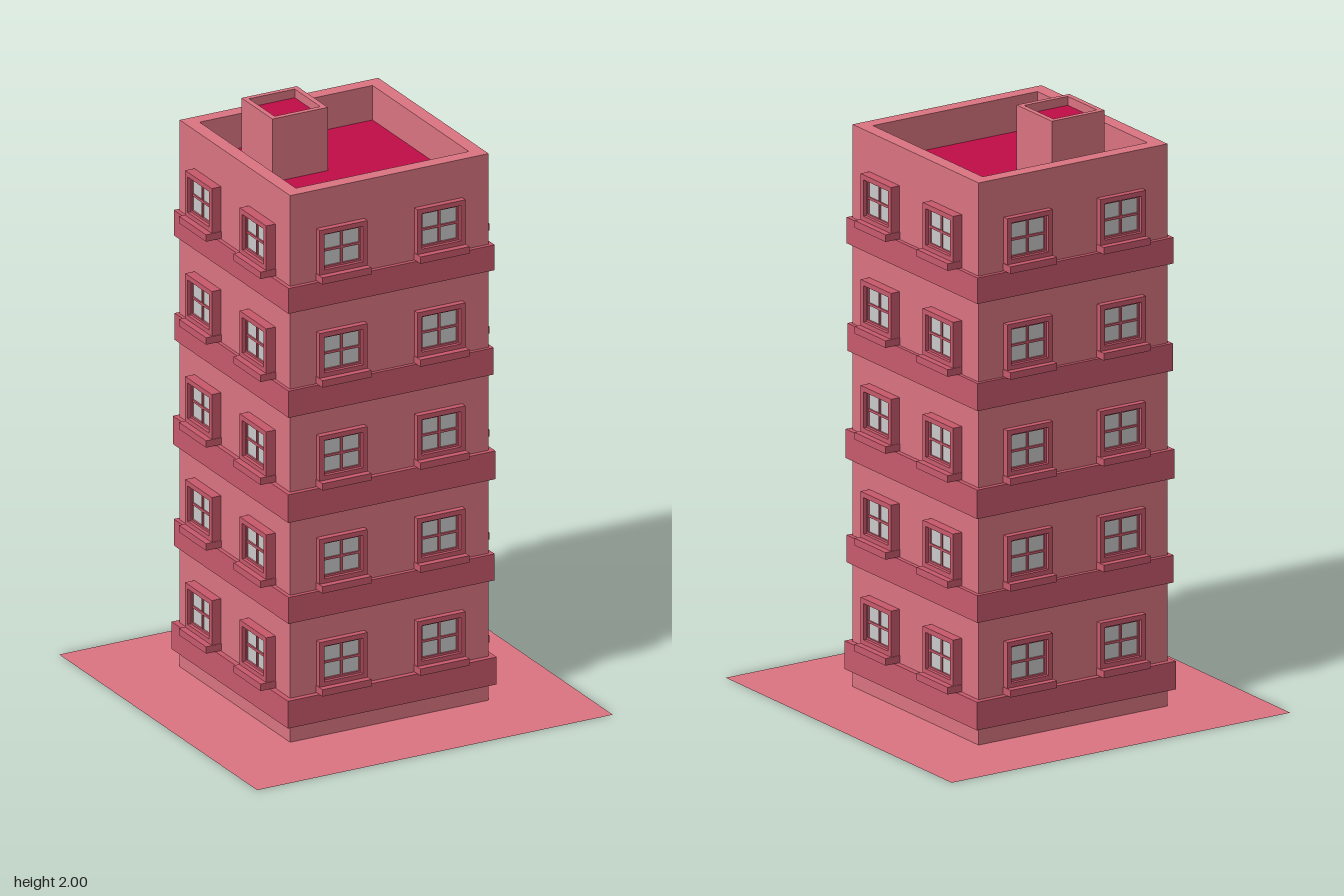
import * as THREE from 'three';

const mat = (color, side = THREE.FrontSide) => new THREE.MeshStandardMaterial({ color, side, flatShading: true });
const wallMat = mat(0xdc7582);
const trimMat = mat(0xc95a6c);
const roofMat = mat(0xc20d48);
const glassMat = mat(0xcccccc);
const groundMat = mat(0xdc7582, THREE.DoubleSide);

function add(parent, name, geometry, material, x = 0, y = 0, z = 0) {
  const mesh = new THREE.Mesh(geometry, material);
  mesh.name = name;
  mesh.position.set(x, y, z);
  parent.add(mesh);
  return mesh;
}

// Square ring surface: profile of [half width, height] swept round four sides
function squareSweep(profile) {
  const points = profile.map(([r, y]) => new THREE.Vector2(r * Math.SQRT2, y));
  const geo = new THREE.LatheGeometry(points, 4).rotateY(Math.PI / 4).toNonIndexed();
  geo.computeVertexNormals();
  return geo;
}

// Flat square facing up
const flatSquare = (size) => new THREE.PlaneGeometry(size, size).rotateX(-Math.PI / 2);

function rectPath(path, w, h) {
  path.moveTo(-w / 2, -h / 2);
  path.lineTo(w / 2, -h / 2);
  path.lineTo(w / 2, h / 2);
  path.lineTo(-w / 2, h / 2);
  path.closePath();
  return path;
}

// Rectangular frame of the given border and depth
function frameGeometry(w, h, border, depth) {
  const shape = rectPath(new THREE.Shape(), w, h);
  shape.holes.push(rectPath(new THREE.Path(), w - 2 * border, h - 2 * border));
  return new THREE.ExtrudeGeometry(shape, { depth, bevelEnabled: false });
}

const HALF = 0.365;      // half width of the tower
const FLOOR = 0.358;     // storey height
const ROOF_Y = 1.78;

// Window parts, y measured from the top of the band below, z from the wall
const frameGeo = frameGeometry(0.176, 0.157, 0.017, 0.036);
const sashGeo = frameGeometry(0.142, 0.123, 0.007, 0.024);
const glassGeo = new THREE.PlaneGeometry(0.135, 0.116);
const barV = new THREE.BoxGeometry(0.008, 0.116, 0.008);
const barH = new THREE.BoxGeometry(0.135, 0.008, 0.008);
const sillGeo = new THREE.BoxGeometry(0.18, 0.024, 0.058);

function makeWindow() {
  const win = new THREE.Group();
  win.name = 'window';
  const cy = 0.103;
  add(win, 'windowFrame', frameGeo, trimMat, 0, cy, -0.015);
  add(win, 'windowSash', sashGeo, trimMat, 0, cy, -0.015);
  add(win, 'windowGlass', glassGeo, glassMat, 0, cy, 0.003);
  add(win, 'windowBarVertical', barV, trimMat, 0, cy, 0.004);
  add(win, 'windowBarHorizontal', barH, trimMat, 0, cy, 0.004);
  add(win, 'windowSill', sillGeo, trimMat, 0, 0.014, 0.014);
  return win;
}

export function createModel() {
  const model = new THREE.Group();
  model.name = 'apartmentTower';

  // Ground sheet
  add(model, 'ground', flatSquare(1.308), groundMat);

  const tower = new THREE.Group();
  tower.name = 'tower';
  tower.position.z = -0.012;
  model.add(tower);

  // Walls with parapet, and the sunken roof
  add(tower, 'walls', squareSweep([
    [HALF, 0], [HALF, 1.9], [0.318, 1.9], [0.318, ROOF_Y],
  ]), wallMat);
  add(tower, 'roof', flatSquare(0.636), roofMat, 0, ROOF_Y, 0);

  // Roof shaft with its own shallow top
  const shaft = new THREE.Group();
  shaft.name = 'roofShaft';
  shaft.position.set(-0.117, 0, -0.117);
  add(shaft, 'shaftWalls', squareSweep([
    [0.102, ROOF_Y], [0.102, 2], [0.084, 2], [0.084, 1.97],
  ]), wallMat);
  add(shaft, 'shaftTop', flatSquare(0.168), roofMat, 0, 1.97, 0);
  tower.add(shaft);

  // Bands round each storey, slightly varied in size
  const bandHalf = [0.384, 0.379, 0.381, 0.377, 0.379];
  const bandHeight = [0.095, 0.092, 0.098, 0.093, 0.088];
  bandHalf.forEach((half, i) => {
    const top = 0.153 + i * FLOOR;
    const bottom = top - bandHeight[i];
    add(tower, 'band', squareSweep([
      [HALF - 0.01, bottom], [half, bottom], [half, top], [HALF - 0.01, top],
    ]), trimMat);
  });

  // Two windows per storey on all four sides
  for (let side = 0; side < 4; side++) {
    const face = new THREE.Group();
    face.name = 'windowFace';
    face.rotation.y = side * Math.PI / 2;
    const out = HALF + (side % 2 ? 0.013 : 0);
    for (let floor = 0; floor < 5; floor++) {
      for (const x of [-0.18, 0.18]) {
        const win = makeWindow();
        win.position.set(x, 0.153 + floor * FLOOR, out);
        face.add(win);
      }
    }
    tower.add(face);
  }

  return model;
}
